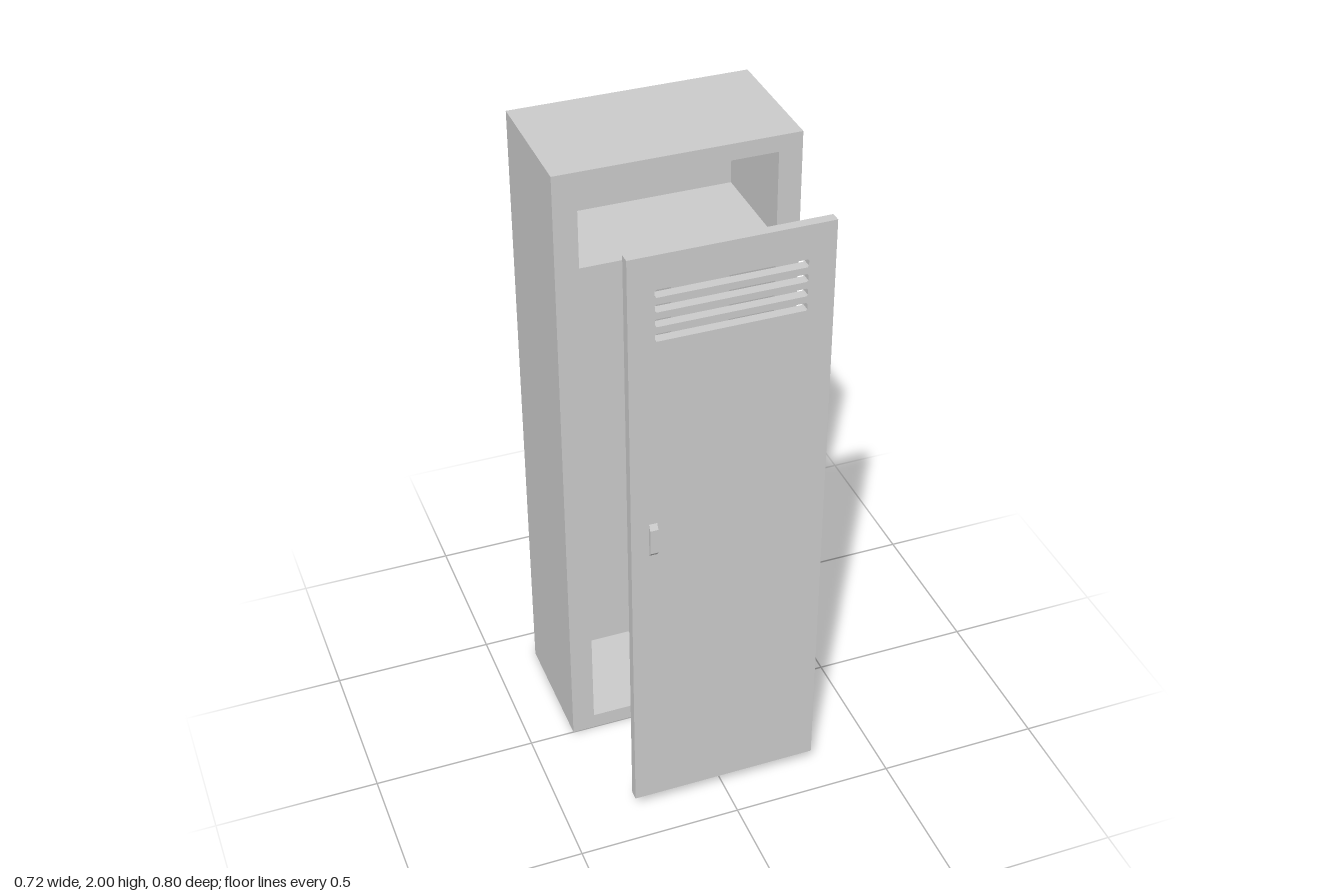
import * as THREE from 'three';

const material = new THREE.MeshStandardMaterial({ color: 0xcccccc, flatShading: true });

function addMesh(parent, name, geometry, x = 0, y = 0, z = 0) {
  const mesh = new THREE.Mesh(geometry, material);
  mesh.name = name;
  mesh.position.set(x, y, z);
  parent.add(mesh);
  return mesh;
}

// Box given by its minimum and maximum corners
function addBox(parent, name, [x0, y0, z0], [x1, y1, z1]) {
  return addMesh(parent, name, new THREE.BoxGeometry(x1 - x0, y1 - y0, z1 - z0),
    (x0 + x1) / 2, (y0 + y1) / 2, (z0 + z1) / 2);
}

// Rectangle outline with small cut corners
function outline(PathType, x0, y0, x1, y1, cut = 0) {
  const points = cut
    ? [[x0 + cut, y0], [x1 - cut, y0], [x1, y0 + cut], [x1, y1 - cut],
      [x1 - cut, y1], [x0 + cut, y1], [x0, y1 - cut], [x0, y0 + cut]]
    : [[x0, y0], [x1, y0], [x1, y1], [x0, y1]];
  return new PathType(points.map(([x, y]) => new THREE.Vector2(x, y)));
}

function extrude(shape, depth) {
  return new THREE.ExtrudeGeometry(shape, { depth, bevelEnabled: false });
}

export function createModel() {
  const model = new THREE.Group();
  model.name = 'locker';

  // Cabinet: thick frame closed by a back panel
  const cabinet = new THREE.Group();
  cabinet.name = 'cabinet';
  model.add(cabinet);
  const frame = outline(THREE.Shape, -0.36, 0, 0.36, 2);
  frame.holes.push(outline(THREE.Path, -0.29, 0.05, 0.29, 1.95));
  addMesh(cabinet, 'frame', extrude(frame, 0.34), 0, 0, -0.34);
  addBox(cabinet, 'backPanel', [-0.36, 0, -0.4], [0.36, 2, -0.34]);

  // Hat shelf and the upright divider below it
  addBox(cabinet, 'shelf', [-0.29, 1.655, -0.34], [0.29, 1.68, -0.04]);
  addBox(cabinet, 'divider', [-0.01, 0.05, -0.34], [0.01, 1.655, -0.04]);

  // Door held out in front, with vent slots cut through
  const door = new THREE.Group();
  door.name = 'door';
  model.add(door);
  const panel = outline(THREE.Shape, -0.29, 0.05, 0.29, 1.95);
  for (let i = 0; i < 4; i++) {
    const y = 1.702 + i * 0.0445;
    panel.holes.push(outline(THREE.Path, -0.215, y - 0.012, 0.213, y + 0.012, 0.004));
  }
  addMesh(door, 'doorPanel', extrude(panel, 0.03), 0, 0, 0.36);

  // Handle: side profile with sloped ends, extruded across its width
  const profile = new THREE.Shape([[0, 0.985], [0.01, 0.998], [0.01, 1.078], [0, 1.095]]
    .map(([z, y]) => new THREE.Vector2(z, y)));
  const handle = extrude(profile, 0.024).rotateY(-Math.PI / 2);
  addMesh(door, 'handle', handle, -0.213, 0, 0.39);

  return model;
}
